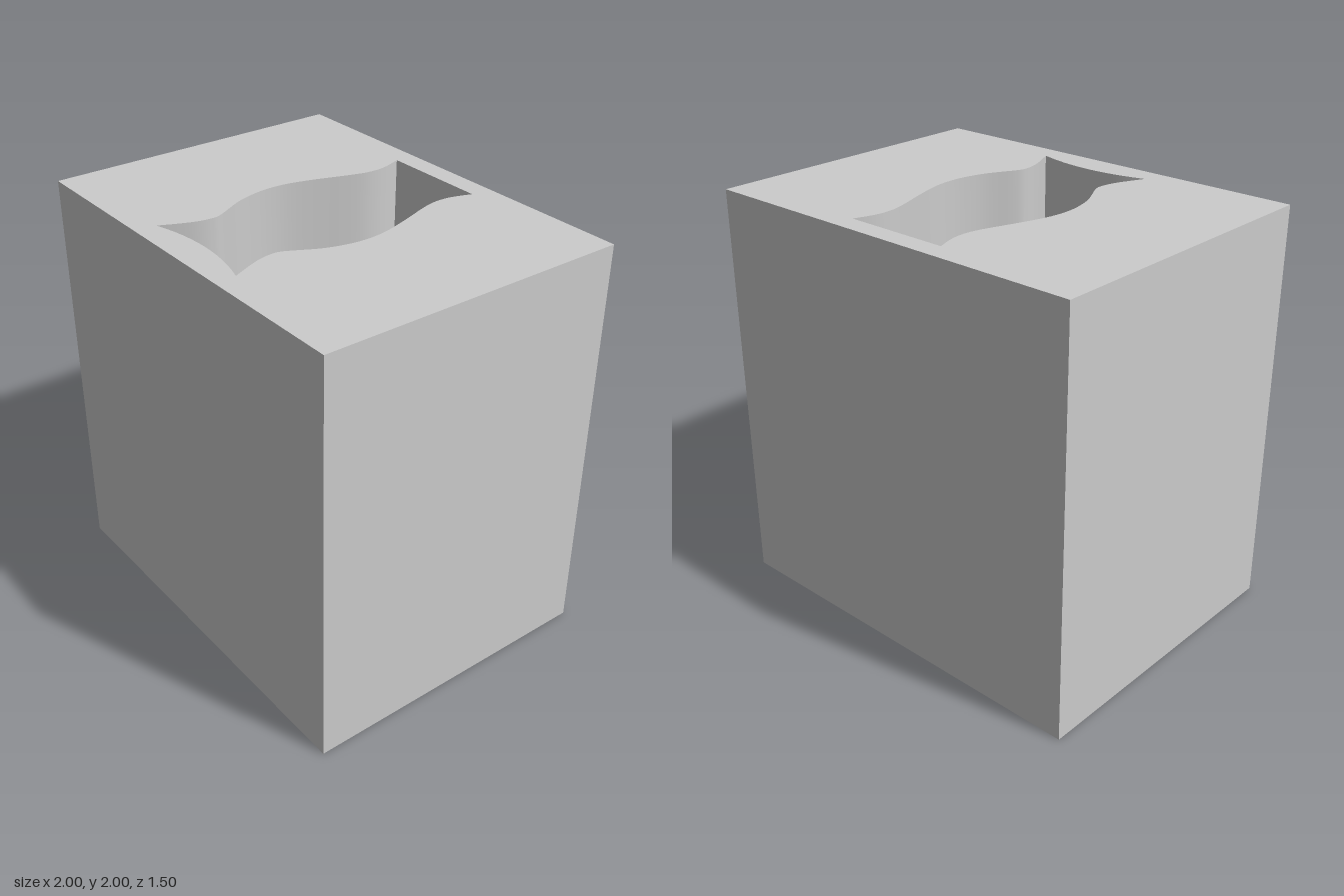
import * as THREE from 'three';
import { toCreasedNormals } from 'three/addons/utils/BufferGeometryUtils.js';

const WIDTH = 2, DEPTH = 1.5, HEIGHT = 2;

// Half width of the vase-shaped hole, from back to front: [half width, z]
const PROFILE = [
  [0.26, -0.65], [0.23, -0.56], [0.222, -0.48], [0.238, -0.39], [0.302, -0.2],
  [0.337, -0.07], [0.345, 0.03], [0.335, 0.12], [0.302, 0.23], [0.232, 0.365],
  [0.222, 0.42], [0.232, 0.485], [0.26, 0.56], [0.3, 0.647],
];

// Shape coordinates are (x, -z), so the extrusion can be turned upright
function vaseHole() {
  const right = new THREE.SplineCurve(PROFILE.map(([x, z]) => new THREE.Vector2(x, -z))).getPoints(52);
  const left = right.map((p) => new THREE.Vector2(-p.x, p.y)).reverse();
  // Front edge bows inward
  const front = new THREE.QuadraticBezierCurve(
    right[right.length - 1], new THREE.Vector2(0, -0.55), left[0],
  ).getPoints(12).slice(1, -1);
  return new THREE.Path([...right, ...front, ...left]);
}

export function createModel() {
  const w = WIDTH / 2, d = DEPTH / 2;
  const outline = new THREE.Shape([
    new THREE.Vector2(-w, -d), new THREE.Vector2(w, -d),
    new THREE.Vector2(w, d), new THREE.Vector2(-w, d),
  ]);
  outline.holes.push(vaseHole());

  // Block with the hole running from top to bottom
  const geometry = new THREE.ExtrudeGeometry(outline, { depth: HEIGHT, bevelEnabled: false });
  geometry.rotateX(-Math.PI / 2);
  const block = new THREE.Mesh(
    toCreasedNormals(geometry, 0.5),
    new THREE.MeshStandardMaterial({ color: 0xcccccc }),
  );
  block.name = 'blockWithVaseHole';

  const model = new THREE.Group();
  model.name = 'hollowBlock';
  model.add(block);
  return model;
}
